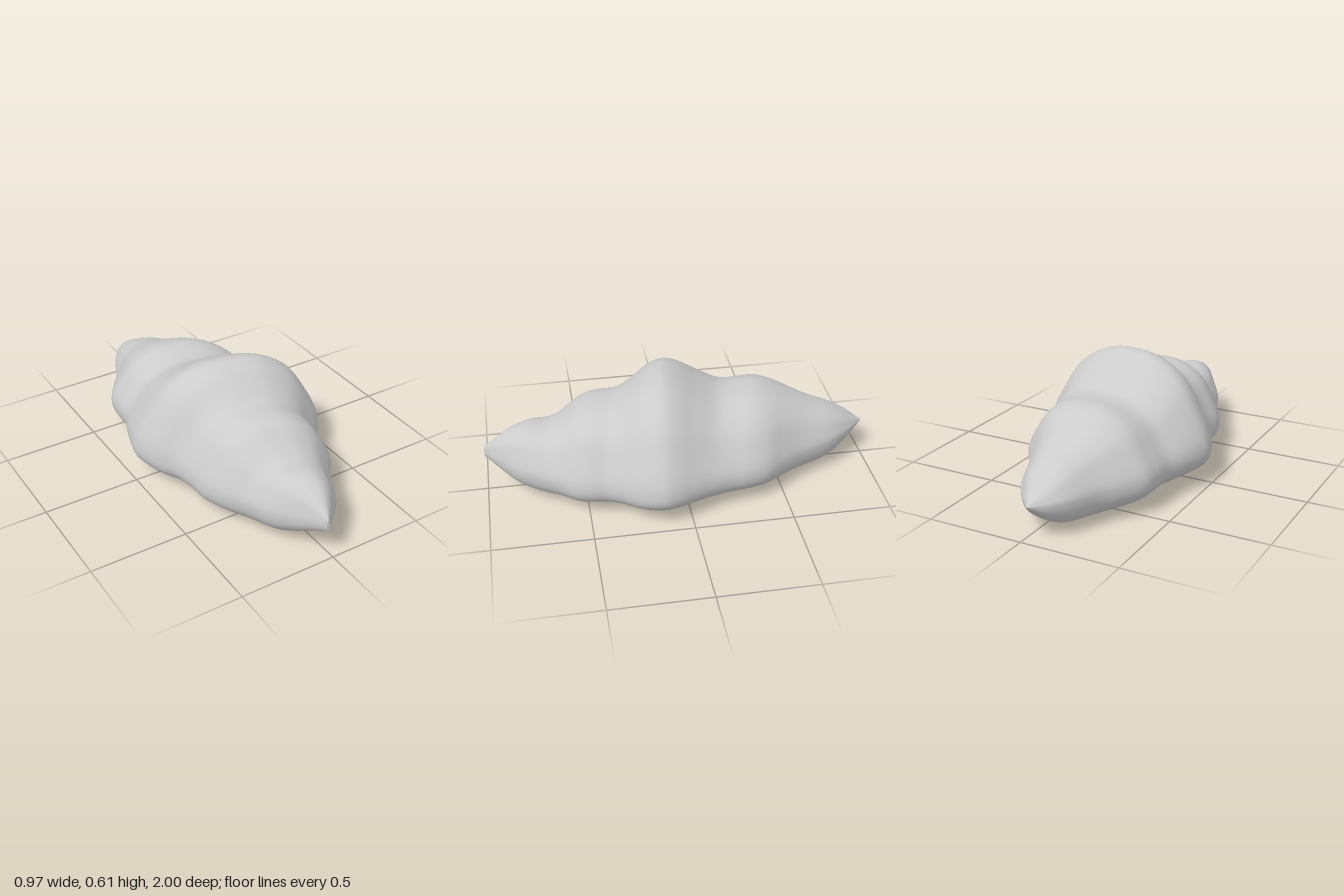
import * as THREE from 'three';

// Each whorl is slanted: its z shifts with x around the tips' axis
const SLANT = 0.17, TIP_X = -0.04;
const STEPS = 160, SIDES = 72;

// Smooth curve through [position, value] points
function curve(points) {
  const slope = points.map((p, i) => {
    const a = points[Math.max(i - 1, 0)], b = points[Math.min(i + 1, points.length - 1)];
    return (b[1] - a[1]) / (b[0] - a[0]);
  });
  return (s) => {
    let i = 0;
    while (i < points.length - 2 && s > points[i + 1][0]) i++;
    const [p, q] = [points[i], points[i + 1]];
    const d = q[0] - p[0];
    const u = THREE.MathUtils.clamp((s - p[0]) / d, 0, 1);
    const v = 1 - u;
    return p[1] * v * v * (1 + 2 * u) + q[1] * u * u * (3 - 2 * u)
      + d * u * v * (slope[i] * v - slope[i + 1] * u);
  };
}

// Side outlines are given in plan and moved back to unslanted stations
const unslant = (points) => points.map(([z, x]) => [z - SLANT * (x - TIP_X), x]);

const leftX = curve(unslant([
  [-1, -0.038], [-0.9, 0.05], [-0.8, 0.12], [-0.6, 0.21], [-0.5, 0.27], [-0.4, 0.335],
  [-0.3, 0.365], [-0.2, 0.38], [-0.1, 0.407], [0, 0.445], [0.08, 0.475], [0.15, 0.485],
  [0.25, 0.45], [0.35, 0.372], [0.42, 0.338], [0.5, 0.325], [0.56, 0.305], [0.65, 0.235],
  [0.75, 0.18], [0.85, 0.12], [0.93, 0.045], [1, -0.033]]));
const rightX = curve(unslant([
  [-1, -0.042], [-0.93, -0.125], [-0.85, -0.18], [-0.7, -0.25], [-0.6, -0.32], [-0.5, -0.38],
  [-0.4, -0.395], [-0.3, -0.402], [-0.2, -0.44], [-0.1, -0.472], [-0.02, -0.485],
  [0.1, -0.45], [0.2, -0.39], [0.3, -0.365], [0.4, -0.357], [0.5, -0.32], [0.6, -0.26],
  [0.66, -0.235], [0.75, -0.205], [0.85, -0.145], [0.93, -0.09], [1, -0.047]]));
const topY = curve([
  [-1, 0.182], [-0.9, 0.25], [-0.8, 0.303], [-0.7, 0.342], [-0.6, 0.39], [-0.5, 0.438],
  [-0.4, 0.466], [-0.27, 0.458], [-0.2, 0.467], [-0.1, 0.52], [0, 0.583], [0.08, 0.61],
  [0.16, 0.588], [0.25, 0.523], [0.32, 0.479], [0.43, 0.472], [0.5, 0.455], [0.58, 0.398],
  [0.65, 0.357], [0.78, 0.353], [0.88, 0.322], [1, 0.235]]);
const bottomY = curve([
  [-1, 0.178], [-0.9, 0.09], [-0.8, 0.03], [-0.7, 0.01], [-0.5, 0.003], [0, 0],
  [0.55, 0.004], [0.7, 0.015], [0.8, 0.048], [0.9, 0.11], [1, 0.178]]);
const waistY = curve([[-1, 0.18], [-0.5, 0.165], [0, 0.175], [0.4, 0.145], [0.8, 0.17], [1, 0.205]]);

// One point of the domed, flat-bottomed cross-section
function shellPoint(s, angle) {
  const l = leftX(s), r = rightX(s), waist = waistY(s);
  const c = Math.cos(angle), k = Math.sin(angle);
  let across, y;
  if (k >= 0) {
    across = c * (1 - 0.07 * Math.sin(Math.PI * k) ** 2 + 0.3 * k ** 30);
    y = waist + (topY(s) - waist) * k;
  } else {
    across = Math.sign(c) * Math.abs(c) ** 0.84;
    y = waist - (waist - bottomY(s)) * Math.abs(k) ** 0.84;
  }
  const x = (l + r) / 2 + (l - r) / 2 * across;
  return [x, y, s + SLANT * (x - TIP_X)];
}

function meshFrom(name, positions, index, material) {
  const geometry = new THREE.BufferGeometry();
  geometry.setAttribute('position', new THREE.Float32BufferAttribute(positions, 3));
  geometry.setIndex(index);
  geometry.computeVertexNormals();
  const mesh = new THREE.Mesh(geometry, material);
  mesh.name = name;
  return mesh;
}

export function createModel() {
  const group = new THREE.Group();
  group.name = 'spiralShell';
  const grey = new THREE.MeshStandardMaterial({ color: 0xcccccc });
  grey.name = 'light grey';

  const ring = (s) => Array.from({ length: SIDES }, (_, j) => shellPoint(s, j / SIDES * Math.PI * 2));

  // Body lofted from the back tip to the front tip
  const positions = [], index = [];
  for (let i = 0; i <= STEPS; i++) {
    positions.push(...ring(-1 + 2 * i / STEPS).flat());
    if (i === STEPS) break;
    for (let j = 0; j < SIDES; j++) {
      const a = i * SIDES + j, b = i * SIDES + (j + 1) % SIDES;
      index.push(a, b, a + SIDES, b, b + SIDES, a + SIDES);
    }
  }
  group.add(meshFrom('shellBody', positions, index, grey));

  // Small flat face closing the front tip
  const capIndex = [];
  for (let j = 1; j < SIDES - 1; j++) capIndex.push(0, j, j + 1);
  group.add(meshFrom('frontTip', ring(1).flat(), capIndex, grey));

  return group;
}
